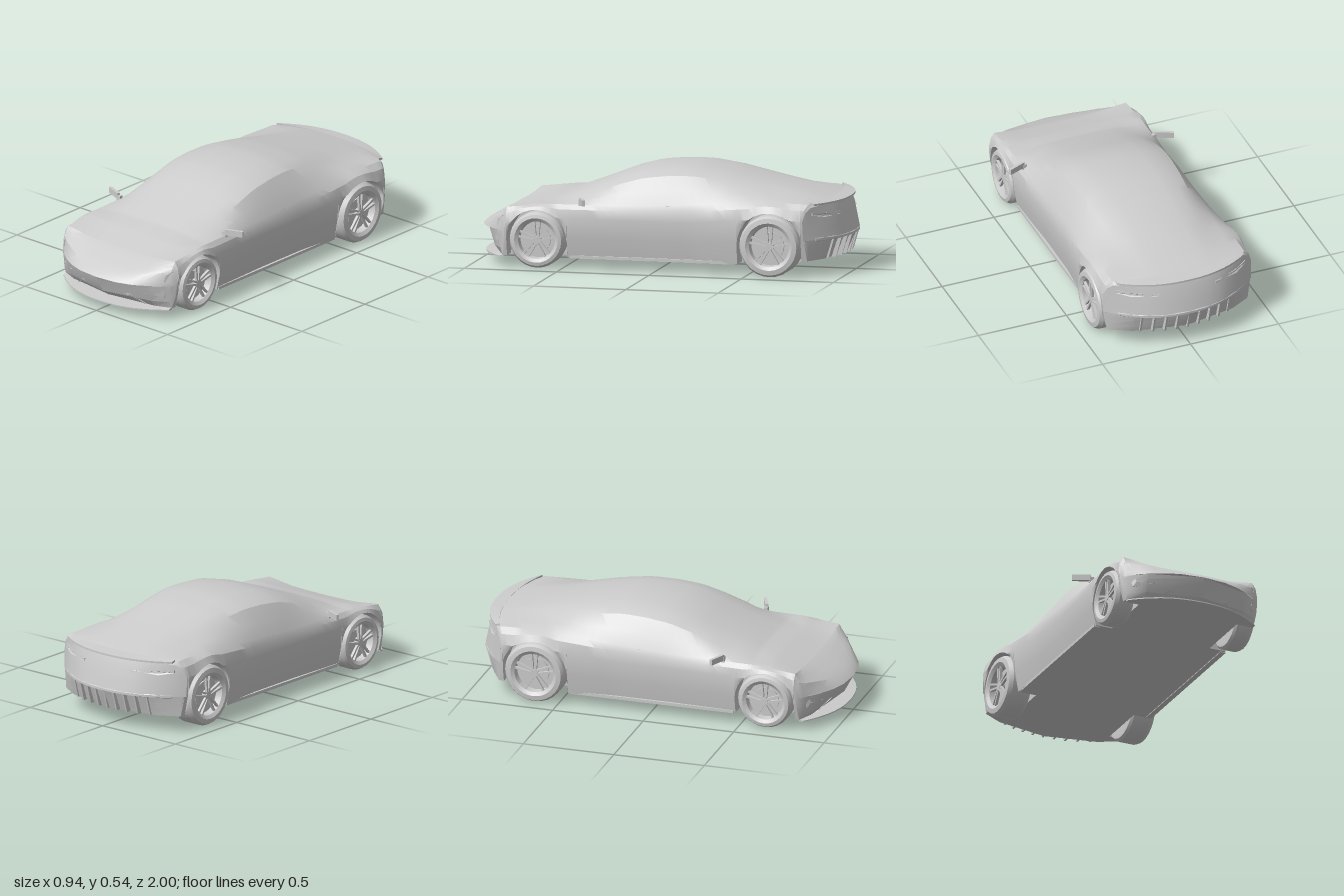
import * as THREE from 'three';
import { toCreasedNormals } from 'three/addons/utils/BufferGeometryUtils.js';

const mat = new THREE.MeshStandardMaterial({ color: 0xcccccc, side: THREE.DoubleSide });
const WHEELS = [
  { label: 'front', z: 0.635, r: 0.148, rim: 0.112, arch: 0.163, outer: 0.407 },
  { label: 'rear', z: -0.63, r: 0.163, rim: 0.12, arch: 0.178, outer: 0.43 },
];

// Piecewise curve along the car, keys running from nose (1) to tail (-1)
function curve(...keys) {
  return (s) => {
    let i = 0;
    while (i < keys.length - 2 && s < keys[i + 1][0]) i++;
    const [[s0, v0], [s1, v1]] = [keys[i], keys[i + 1]];
    return v0 + ((v1 - v0) * (s0 - s)) / (s0 - s1);
  };
}

// Long lines of the body
const roofLine = curve([1, .19], [.98, .208], [.93, .238], [.8, .294], [.65, .337], [.55, .36], [.2, .497], [.08, .53],
  [-.05, .543], [-.18, .545], [-.35, .52], [-.8, .42], [-.95, .387], [-.968, .338], [-1, .2]);
const roofDrop = curve([1, 0], [.95, -.02], [.65, 0], [.4, .04], [.2, .047], [-.2, .043], [-.6, .035], [-.9, .005], [-1, 0]);
const roofWidth = curve([1, .25], [.65, .28], [.3, .3], [0, .29], [-.6, .25], [-1, .22]);
const floorLine = curve([1, .19], [.93, .06], [-.75, .06], [-.81, .09], [-.95, .09], [-1, .2]);
const bodyWidth = curve([1, .385], [.93, .4], [.65, .41], [.1, .395], [-.2, .397], [-.65, .43], [-1, .42]);
const waistLine = curve([1, .19], [.93, .2], [.65, .27], [-.2, .27], [-.6, .31], [-.95, .3], [-1, .2]);
const shoulderLine = curve([1, .19], [.95, .265], [.8, .317], [.6, .34], [.1, .346], [-.3, .37], [-.6, .395],
  [-.9, .386], [-.95, .37], [-1, .2]);
const SHOULDER_X = 0.375;

// Rounds nose and tail in plan: stations past +-0.8 are pulled back away from the centre line
function bow(s, x) {
  const over = Math.abs(s) - 0.8;
  if (over <= 0) return s;
  const t = Math.min(1, Math.abs(x) / (s > 0 ? 0.41 : 0.43)) ** 2.3;
  return Math.sign(s) * (0.8 + over * (1 - 0.97 * t));
}

// Section from floor centre, around the wheel well and flank, to roof centre, then mirrored
function section(s) {
  const yb = floorLine(s), w = bodyWidth(s), ys = shoulderLine(s);
  const rx = roofWidth(s), yt = roofLine(s), ry = yt - roofDrop(s);
  let ya = yb, inset = 0.028;
  for (const { z, r, arch } of WHEELS) {
    const d = arch * arch - (s - z) ** 2;
    if (d > 0) {
      ya = Math.max(ya, r + Math.sqrt(d));
      inset = 0.006;
    }
  }
  const yw = Math.max(waistLine(s), ya);
  const half = [
    [0, yb], [0.285, yb], [0.285, ya], [w - inset, ya],
    [w - inset * 0.3, (ya + yw) / 2], [w, yw],
    [w - (w - SHOULDER_X) * 0.35, yw + (ys - yw) * 0.65], [SHOULDER_X, ys],
    [(SHOULDER_X + rx) / 2 + 0.006, (ys + ry) / 2 + 0.002], [rx, ry],
    [rx * 0.8, ry + (yt - ry) * 0.55], [rx * 0.5, ry + (yt - ry) * 0.85], [0, yt],
  ];
  const other = half.slice(0, -1).reverse().map(([x, y]) => [-x, y]);
  return [...half, ...other].map(([x, y]) => new THREE.Vector3(x, y, bow(s, x)));
}

function bodyGeometry() {
  // even stations, closer ones at nose and tail, and fine ones around each wheel arch
  const stops = [0.985, -0.968, -0.985];
  for (let k = -20; k <= 20; k++) stops.push(k / 20);
  for (const { z, arch } of WHEELS) {
    for (let k = 0; k <= 14; k++) stops.push(z + arch * 0.9999 * Math.cos((k * Math.PI) / 14));
    stops.push(z + arch + 0.001, z - arch - 0.001);
  }
  stops.sort((a, b) => b - a);
  const rows = stops.map(section), pos = [];
  const tri = (a, b, c) => {
    const area = b.clone().sub(a).cross(c.clone().sub(a)).length();
    if (area > 1e-9) for (const p of [a, b, c]) pos.push(p.x, p.y, p.z);
  };
  for (let i = 0; i < rows.length - 1; i++) {
    for (let j = 0; j < rows[i].length - 1; j++) {
      const a = rows[i][j], b = rows[i][j + 1], c = rows[i + 1][j], d = rows[i + 1][j + 1];
      tri(a, c, b);
      tri(b, c, d);
    }
  }
  const g = new THREE.BufferGeometry();
  g.setAttribute('position', new THREE.Float32BufferAttribute(pos, 3));
  return toCreasedNormals(g, 0.4);
}

function add(parent, name, geometry, x = 0, y = 0, z = 0) {
  const m = new THREE.Mesh(geometry, mat);
  m.name = name;
  m.position.set(x, y, z);
  parent.add(m);
  return m;
}

const extrude = (pts, depth, steps = 1) => new THREE.ExtrudeGeometry(
  new THREE.Shape(pts.map(([x, y]) => new THREE.Vector2(x, y))), { depth, steps, bevelEnabled: false });

// Extrudes a lengthwise (s, y) profile across the car, following the rounded plan
function bowedStrip(profile, halfWidth) {
  const g = extrude(profile, 2 * halfWidth, 20);
  const p = g.attributes.position;
  for (let i = 0; i < p.count; i++) {
    const x = halfWidth - p.getZ(i);
    p.setXYZ(i, x, p.getY(i), bow(p.getX(i), x));
  }
  return toCreasedNormals(g, 0.5);
}

// Lays an (x, y) outline onto the nose (dir 1) or tail (dir -1) as thin raised trim
function trim(body, outline, dir) {
  const g = extrude(outline, 0.012);
  const p = g.attributes.position, ray = new THREE.Raycaster();
  for (let i = 0; i < p.count; i++) {
    const x = p.getX(i), y = p.getY(i);
    ray.set(new THREE.Vector3(x, y, 2 * dir), new THREE.Vector3(0, 0, -dir));
    const hit = ray.intersectObject(body)[0];
    const z = hit ? hit.point.z : bow(0.93 * dir, x);
    p.setZ(i, z + p.getZ(i) - 0.006);
  }
  return toCreasedNormals(g, 0.4);
}

// Wheel with its outer face towards +x
function wheel({ label, r, rim, outer }) {
  const g = new THREE.Group();
  g.name = label + 'Wheel';
  const h = (outer - 0.295) / 2;
  const profile = [[0, -h + 0.02], [rim, -h], [r - 0.012, -h], [r, -h + 0.012], [r, h - 0.025], [r - 0.012, h - 0.004],
    [rim + 0.006, h], [rim, h - 0.004], [rim - 0.012, h - 0.012], [rim - 0.016, h - 0.05], [0, h - 0.05]];
  const tyre = new THREE.LatheGeometry(profile.map(([a, b]) => new THREE.Vector2(a, b)), 28);
  add(g, 'tyreAndRim', toCreasedNormals(tyre.rotateZ(-Math.PI / 2), 0.5));
  add(g, 'hub', new THREE.CylinderGeometry(0.02, 0.026, 0.03, 10).rotateZ(-Math.PI / 2), h - 0.027);
  add(g, 'brakeDisc', new THREE.CylinderGeometry(rim * 0.62, rim * 0.62, 0.01, 24).rotateZ(Math.PI / 2), h - 0.045);
  // five split spokes
  const length = rim - 0.014;
  for (let i = 0; i < 5; i++) {
    for (const side of [-1, 1]) {
      const spoke = new THREE.BoxGeometry(0.014, length, 0.011).translate(0, length / 2 + 0.008, 0);
      spoke.rotateX(side * 0.09).translate(0, 0, side * 0.006).rotateX((i * Math.PI * 2) / 5);
      add(g, 'spoke', spoke, h - 0.02);
    }
  }
  return g;
}

export function createModel() {
  const car = new THREE.Group();
  car.name = 'sportsCar';
  const body = add(car, 'body', bodyGeometry());

  // nose and tail trim
  add(car, 'frontSplitter', bowedStrip([[.88, .05], [.985, .05], [.985, .056], [.88, .062]], 0.37));
  add(car, 'grilleSurround', trim(body, [[-.24, .062], [-.165, .115], [.165, .115], [.24, .062],
    [.228, .062], [.16, .107], [-.16, .107], [-.228, .062]], 1));
  add(car, 'tailSpoiler', bowedStrip([[-.9, .385], [-.9, .398], [-.972, .39], [-.972, .38]], 0.36));
  add(car, 'tailBumper', bowedStrip([[-.95, .18], [-1, .195], [-1, .207], [-.96, .235]], 0.36));

  // diffuser fins, leaning forward under the tail bumper
  const fin = extrude([[0, .195], [.03, .09], [.08, .09], [.06, .195]], 0.01).rotateY(-Math.PI / 2).translate(0.005, 0, 0);
  for (let i = -4; i <= 4; i++) add(car, 'diffuserFin', fin, i * 0.062, 0, bow(-0.995, i * 0.062));

  for (const side of [1, -1]) {
    const mirror = (pts) => pts.map(([x, y]) => [x * side, y]);
    add(car, 'headlight', trim(body, mirror([[.382, .272], [.345, .262], [.358, .25], [.335, .15], [.25, .14], [.35, .125]]), 1));
    add(car, 'tailLight', trim(body, mirror([[.16, .33], [.3, .335], [.37, .345], [.37, .33], [.3, .315], [.16, .318]]), -1));
    // door mirror on a short stalk
    add(car, 'doorMirror', new THREE.BoxGeometry(0.1, 0.032, 0.016), side * 0.42, 0.363, 0.382).rotation.y = side * 0.4;
    add(car, 'mirrorStalk', new THREE.BoxGeometry(0.025, 0.03, 0.02), side * 0.37, 0.352, 0.4);
    add(car, 'doorHandle', new THREE.BoxGeometry(0.008, 0.007, 0.08), side * 0.374, 0.347, -0.1);
    add(car, 'sideSkirt', new THREE.BoxGeometry(0.03, 0.016, 0.9), side * 0.368, 0.064, 0.01);
    for (const spec of WHEELS) {
      const w = wheel(spec);
      w.position.set((side * (spec.outer + 0.295)) / 2, spec.r, spec.z);
      if (side < 0) w.rotation.y = Math.PI;
      car.add(w);
    }
  }
  return car;
}
